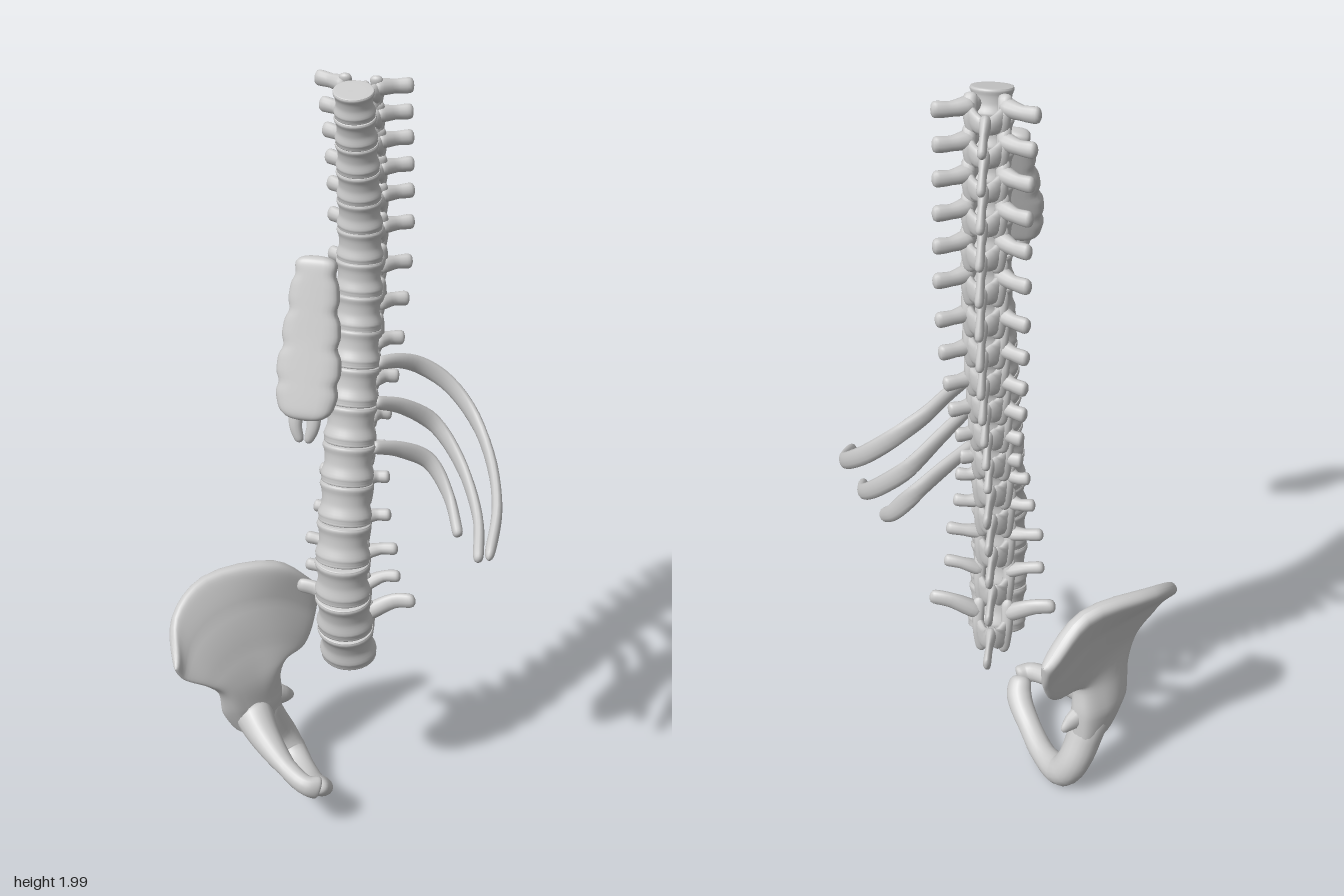
import * as THREE from 'three';

const V = (x, y, z) => new THREE.Vector3(x, y, z);
const path = pts => new THREE.CatmullRomCurve3(pts.map(p => V(...p)));
const material = new THREE.MeshStandardMaterial({ color: 0xcccccc });

function addMesh(parent, name, geometry) {
  const m = new THREE.Mesh(geometry, material);
  m.name = name;
  parent.add(m);
  return m;
}

// Smooth skin over rows of closed loops; fn(u along rows, angle) gives a point
function skin(rows, cols, fn) {
  const pos = [], idx = [];
  for (let i = 0; i <= rows; i++) {
    const u = 0.5 - 0.5 * Math.cos(Math.PI * i / rows); // rows crowd at the ends
    for (let j = 0; j < cols; j++) pos.push(...fn(u, j / cols * Math.PI * 2).toArray());
  }
  for (let i = 0; i < rows; i++) for (let j = 0; j < cols; j++) {
    const a = i * cols + j, b = i * cols + (j + 1) % cols, c = a + cols, d = b + cols;
    idx.push(a, c, b, b, c, d);
  }
  const g = new THREE.BufferGeometry();
  g.setAttribute('position', new THREE.Float32BufferAttribute(pos, 3));
  g.setIndex(idx);
  g.computeVertexNormals();
  return g;
}

const lerpList = (list, u) => {
  const k = Math.min(u * (list.length - 1), list.length - 1.0001), i = Math.floor(k);
  return THREE.MathUtils.lerp(list[i], list[i + 1], k - i);
};
const power = (x, p) => Math.sign(x) * Math.abs(x) ** p;
const roundEnd = (u, k) => Math.sqrt(Math.max(1e-8, 1 - Math.abs(2 * u - 1) ** k));

// Round-ended bone along a path; wide lies across ref, tall along it
function bone(pts, wide, tall, { ref = V(0, 1, 0), end = 10, square = 1, rows = 14, cols = 12 } = {}) {
  const curve = path(pts);
  const at = (r, u) => typeof r === 'function' ? r(u) : lerpList(r, u);
  return skin(rows, cols, (u, a) => {
    const t = curve.getTangent(u);
    const side = t.clone().cross(ref).normalize(), up = side.clone().cross(t);
    const f = roundEnd(u, end);
    return curve.getPoint(u)
      .addScaledVector(side, at(wide, u) * f * power(Math.cos(a), square))
      .addScaledVector(up, at(tall, u) * f * power(Math.sin(a), square));
  });
}

const CX = 0.034; // the midline of the spine

// Per vertebra: half span of the side spurs, and their height above the centre in body heights
const SPAN = [0.115, 0.11, 0.108, 0.106, 0.105, 0.105, 0.103, 0.1, 0.095, 0.09, 0.08, 0.075,
  0.09, 0.1, 0.12, 0.125, 0.158];
const LIFT = [0.3, 0.25, 0.25, 0.25, 0.3, 0.25, 0, -0.1, -0.2, -0.2, -0.15, 0, 0.3, 0.35, 0.45, 0.6, 0.75];

function vertebra(i, h, lean) {
  const g = new THREE.Group();
  g.name = i < 12 ? 'thoracicVertebra' + (i + 1) : 'lumbarVertebra' + (i - 11);
  const lumbar = i > 11, w = 0.047 + 0.0016 * i, d = 0.041 + 0.0012 * i;

  // Softly waisted body with the disc below it
  const profile = [[0, -0.53], [0.9, -0.53], [0.98, -0.46], [1.0, -0.38], [1.02, -0.3],
    [0.92, -0.1], [0.9, 0.05], [0.93, 0.25], [1.01, 0.4], [0.98, 0.47], [0.88, 0.5], [0, 0.5]];
  const body = addMesh(g, 'body', new THREE.LatheGeometry(
    new THREE.SplineCurve(profile.map(p => new THREE.Vector2(...p))).getPoints(30)
      .map(p => new THREE.Vector2(Math.max(0, p.x), p.y)), 28));
  body.scale.set(w, h, d);
  body.rotation.x = lean;

  // Spur along the midline at the back
  const drop = lumbar ? 0.035 : 0.05 + 0.045 * Math.sin(Math.PI * i / 11);
  const reach = lumbar ? 0.205 : 0.165;
  addMesh(g, 'backSpur', bone(
    [[0, 0, -d - 0.045], [0, -drop * 0.45, -(d + 0.045 + reach) / 2], [0, -drop, -reach]],
    [0.016, 0.009, 0.011], lumbar ? [0.026, 0.027, 0.026] : [0.028, 0.019, 0.014]));

  // Arch, side spur and joint column, mirrored
  const span = SPAN[i], rise = LIFT[i] * h, root = Math.min(rise, 0.3 * h);
  const tipZ = lumbar ? -0.09 : -0.095 - 0.02 * Math.sin(Math.PI * i / 11);
  for (const s of [-1, 1]) {
    addMesh(g, 'neuralArch', bone(
      [[s * w * 0.55, 0.18 * h, -d * 0.6], [s * 0.036, 0.1 * h, -d - 0.022], [s * 0.024, -0.12 * h, -d - 0.043], [0, -0.2 * h, -d - 0.062]],
      [0.014, 0.013, 0.011, 0.011], [0.017, 0.022, 0.37 * h, 0.3 * h]));
    addMesh(g, 'sideSpur', bone(
      [[s * 0.03, root, -d - 0.016], [s * span * 0.65, rise * 0.9, (tipZ - d - 0.03) / 2], [s * span, rise, tipZ]],
      [0.024, 0.014, 0.015], i === 16 ? [0.024, 0.021, 0.02] : lumbar ? [0.02, 0.015, 0.017] : [0.022, 0.017, 0.02]));
    addMesh(g, 'facetJoint', bone(
      [[s * 0.036, 0.7 * h, -d - 0.014], [s * 0.036, 0.05 * h, -d - 0.032], [s * 0.027, -0.65 * h, -d - 0.038]],
      [0.016, 0.015, 0.015], [0.01, 0.015, 0.01], { ref: V(0, 0, 1) }));
  }
  return g;
}

function spine() {
  const g = new THREE.Group();
  g.name = 'spine';
  const line = path([[0, 1.985, -0.11], [0, 1.8, -0.155], [0, 1.6, -0.183], [0, 1.4, -0.165], [0, 1.2, -0.115],
    [0, 1, -0.07], [0, 0.8, -0.033], [0, 0.65, -0.046], [0, 0.465, -0.105]]);
  const samples = line.getPoints(400);
  let top = 1.985;
  for (let i = 0; i < 17; i++) {
    const h = 0.065 + 0.003 * i, y = top - h / 2;
    const k = samples.findIndex(p => p.y <= y);
    const a = samples[Math.max(0, k - 6)], b = samples[Math.min(400, k + 6)];
    const v = vertebra(i, h, Math.atan2(a.z - b.z, a.y - b.y));
    v.position.set(CX, y, samples[k].z);
    g.add(v);
    top -= h;
  }
  return g;
}

function ribs() {
  const g = new THREE.Group();
  g.name = 'lowerLeftRibs';
  [
    [[0.08, 1.285, -0.17], [0.125, 1.27, -0.23], [0.17, 1.24, -0.275], [0.235, 1.19, -0.295], [0.305, 1.12, -0.272],
      [0.367, 1.04, -0.2], [0.404, 0.965, -0.1], [0.411, 0.9, 0.03]],
    [[0.08, 1.19, -0.15], [0.14, 1.15, -0.22], [0.21, 1.085, -0.268], [0.285, 1.0, -0.235], [0.35, 0.905, -0.145], [0.374, 0.845, -0.04]],
    [[0.08, 1.07, -0.14], [0.14, 1.04, -0.2], [0.205, 0.99, -0.243], [0.262, 0.91, -0.218], [0.303, 0.84, -0.15]],
  ].forEach((pts, i) => addMesh(g, 'rib' + (10 + i),
    bone(pts, [0.015, 0.012, 0.012, 0.014], [0.017, 0.023, 0.022, 0.018], { end: 40, rows: 40 })));
  return g;
}

function sternum() {
  const g = new THREE.Group();
  g.name = 'sternum';
  // Flat body, widening downwards, notched where the rib cartilages meet it
  const notch = u => 1 - 0.13 * Math.abs(Math.sin(Math.PI * 4.5 * u)) ** 5;
  addMesh(g, 'sternumBody', bone([[0.036, 1.72, 0.205], [0.036, 1.55, 0.257], [0.036, 1.375, 0.313]],
    u => lerpList([0.046, 0.054, 0.062, 0.07, 0.074, 0.054], u) * notch(u), [0.022, 0.023, 0.026],
    { ref: V(0, 0, 1), end: 26, square: 0.6, rows: 60, cols: 24 }));
  // Forked tip
  for (const s of [-1, 1]) addMesh(g, 'xiphoidTine', bone(
    [[0.036 + s * 0.018, 1.41, 0.305], [0.036 + s * 0.02, 1.365, 0.318], [0.036 + s * 0.008, 1.325, 0.322]],
    [0.02, 0.015, 0.01], [0.015, 0.012, 0.01], { ref: V(0, 0, 1) }));
  return g;
}

function hipBone() {
  const g = new THREE.Group();
  g.name = 'rightHipBone';
  // Wing: a curved plate from the crest down to the hip socket, front to back in each row
  const rows = [
    [[-0.378, 0.47, 0.085], [-0.413, 0.57, -0.005], [-0.365, 0.635, -0.11], [-0.2, 0.64, -0.225], [-0.11, 0.53, -0.315]],
    [[-0.365, 0.43, 0.068], [-0.358, 0.5, 0], [-0.3, 0.54, -0.1], [-0.2, 0.53, -0.205], [-0.11, 0.445, -0.295]],
    [[-0.312, 0.385, 0.025], [-0.3, 0.41, -0.02], [-0.255, 0.43, -0.1], [-0.19, 0.415, -0.18], [-0.13, 0.37, -0.25]],
    [[-0.285, 0.345, -0.005], [-0.27, 0.345, -0.05], [-0.24, 0.345, -0.1], [-0.205, 0.345, -0.14], [-0.175, 0.35, -0.175]],
    [[-0.265, 0.27, -0.025], [-0.258, 0.26, -0.065], [-0.24, 0.26, -0.11], [-0.215, 0.26, -0.15], [-0.19, 0.265, -0.195]],
    [[-0.24, 0.19, -0.055], [-0.232, 0.175, -0.09], [-0.222, 0.165, -0.13], [-0.21, 0.16, -0.165], [-0.195, 0.165, -0.205]],
  ].map(path);
  const plate = (u, v) => new THREE.CatmullRomCurve3(rows.map(r => r.getPoint(u))).getPoint(v);
  const e = 0.01, c = x => THREE.MathUtils.clamp(x, 0, 1);
  addMesh(g, 'iliacWing', skin(44, 48, (v, a) => {
    const u = 0.5 - 0.5 * Math.cos(a);
    const su = plate(c(u + e), v).sub(plate(c(u - e), v));
    const sv = plate(u, c(v + e)).sub(plate(u, c(v - e)));
    // Thicker at the rear corner of the crest
    const rear = 1 + 1.3 * u ** 4 * Math.max(0, 1 - 2 * v);
    const thick = lerpList([0.022, 0.012, 0.02, 0.037, 0.053, 0.044], v) * rear * roundEnd(v, 24);
    return plate(u, v).addScaledVector(sv.cross(su).normalize(), thick * power(Math.sin(a), 0.7));
  }));

  // Ring around the opening: ischium, lower branch and pubis
  addMesh(g, 'ischiumAndLowerRamus', bone(
    [[-0.225, 0.25, -0.14], [-0.205, 0.17, -0.165], [-0.18, 0.1, -0.19], [-0.15, 0.053, -0.183],
      [-0.1, 0.042, -0.13], [-0.048, 0.07, -0.05], [-0.01, 0.115, 0.02], [-0.012, 0.15, 0.06]],
    [0.045, 0.048, 0.046, 0.044, 0.032, 0.025, 0.027, 0.026],
    [0.05, 0.046, 0.044, 0.044, 0.033, 0.03, 0.034, 0.03], { ref: V(1, 0, 0.2), end: 24, rows: 40, cols: 18 }));
  addMesh(g, 'pubicRamus', bone(
    [[-0.23, 0.25, -0.085], [-0.175, 0.212, -0.025], [-0.1, 0.173, 0.035], [-0.035, 0.153, 0.072], [0, 0.142, 0.06]],
    [0.055, 0.042, 0.027, 0.024, 0.022], [0.06, 0.04, 0.025, 0.028, 0.036], { end: 20, rows: 28, cols: 18 }));
  addMesh(g, 'ischialSpine', bone([[-0.195, 0.25, -0.17], [-0.17, 0.235, -0.19], [-0.15, 0.222, -0.212]],
    [0.025, 0.018, 0.007], [0.035, 0.026, 0.01]));
  return g;
}

export function createModel() {
  const model = new THREE.Group();
  model.name = 'partialSkeleton';
  model.add(spine(), ribs(), sternum(), hipBone());
  return model;
}
